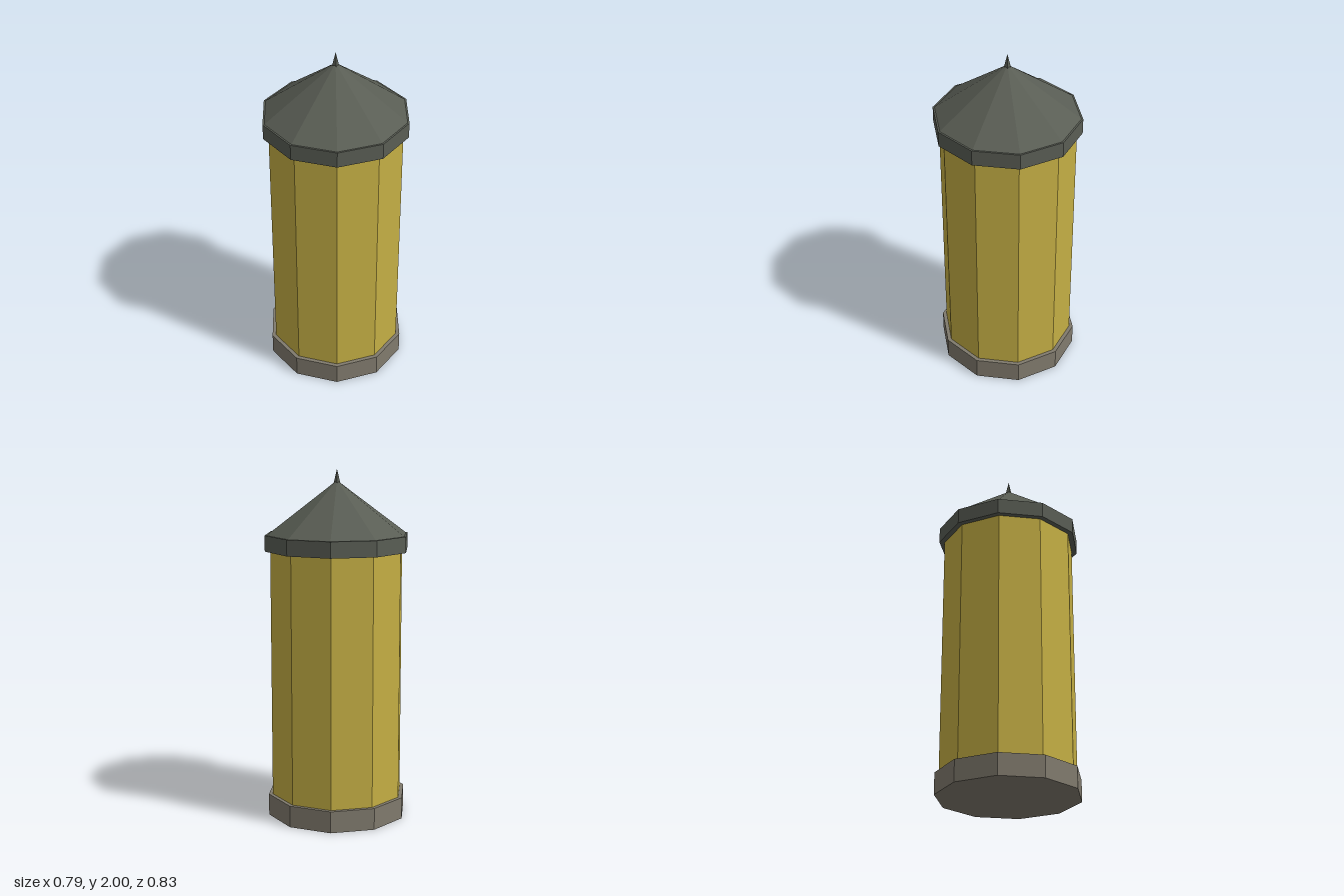
import * as THREE from 'three';

const SIDES = 10;

export function createModel() {
  const group = new THREE.Group();
  group.name = 'tower';

  const stone = new THREE.MeshStandardMaterial({ color: 0x807a6d });
  stone.name = 'stone grey';
  const ochre = new THREE.MeshStandardMaterial({ color: 0xc4ae44 });
  ochre.name = 'ochre wall';
  const slate = new THREE.MeshStandardMaterial({ color: 0x595d54 });
  slate.name = 'dark slate';

  // Faceted prism or cone between two heights, with a corner facing +z
  function addPrism(name, material, rTop, rBottom, y0, y1, sides = SIDES, turn = 0) {
    const geometry = new THREE.CylinderGeometry(rTop, rBottom, y1 - y0, sides)
      .rotateY(turn)
      .translate(0, (y0 + y1) / 2, 0)
      .toNonIndexed();
    geometry.computeVertexNormals();
    const mesh = new THREE.Mesh(geometry, material);
    mesh.name = name;
    group.add(mesh);
  }

  addPrism('base', stone, 0.407, 0.407, 0, 0.125);
  addPrism('wall', ochre, 0.384, 0.384, 0.125, 1.55);
  addPrism('roofRim', slate, 0.415, 0.415, 1.545, 1.635);
  addPrism('roof', slate, 0, 0.405, 1.635, 1.936);
  // Four-sided spike sunk into the roof tip
  addPrism('spike', slate, 0, 0.019, 1.92, 2, 4, Math.PI / 4);

  return group;
}
